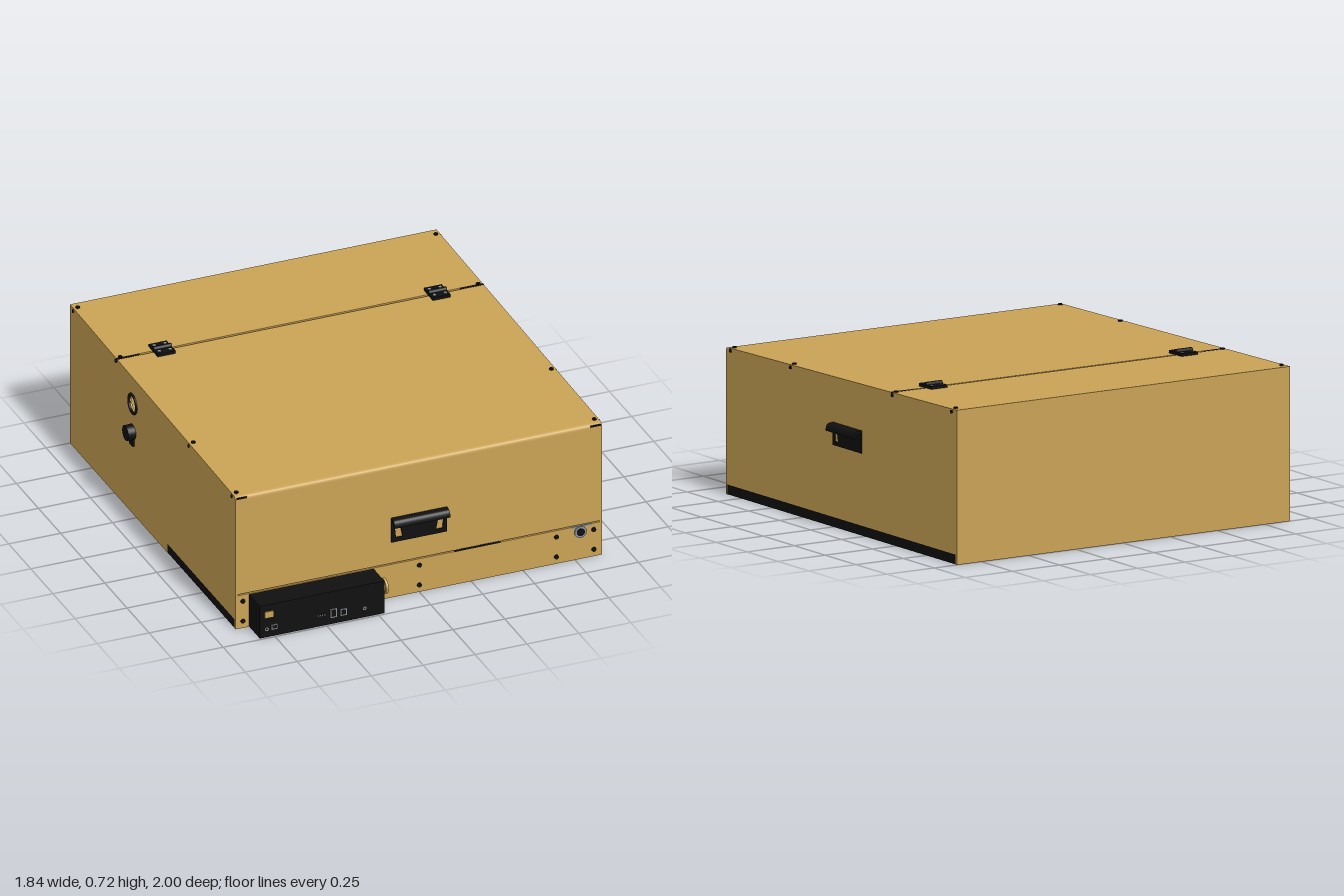
import * as THREE from 'three';

const mat = (name, color) => {
  const m = new THREE.MeshStandardMaterial({ color });
  m.name = name;
  return m;
};

export function createModel() {
  const root = new THREE.Group();
  root.name = 'enclosure';
  const tan = mat('tan panel', 0xcaa356);
  const black = mat('black', 0x101010);
  const grey = mat('steel grey', 0x85919b);

  const add = (name, geo, m, parent = root) => {
    const mesh = new THREE.Mesh(geo, m);
    mesh.name = name;
    parent.add(mesh);
    return mesh;
  };
  // box given by its minimum and maximum corners
  const box = (name, m, a, b, parent) => {
    const g = new THREE.BoxGeometry(b[0] - a[0], b[1] - a[1], b[2] - a[2]);
    g.translate((a[0] + b[0]) / 2, (a[1] + b[1]) / 2, (a[2] + b[2]) / 2);
    return add(name, g, m, parent);
  };
  // cylinder along an axis, centred at p
  const rod = (name, m, r, len, axis, p, parent, seg = 16) => {
    const g = new THREE.CylinderGeometry(r, r, len, seg);
    if (axis === 'x') g.rotateZ(Math.PI / 2);
    if (axis === 'z') g.rotateX(Math.PI / 2);
    g.translate(...p);
    return add(name, g, m, parent);
  };
  const poly = (pts) => new THREE.Shape(pts.map(([x, y]) => new THREE.Vector2(x, y)));
  // extrude a (z, y) shape from x0 to x1
  const extrudeX = (name, m, shape, x0, x1, parent) => {
    const g = new THREE.ExtrudeGeometry(shape, { depth: x1 - x0, bevelEnabled: false, curveSegments: 20 });
    g.rotateY(-Math.PI / 2).translate(x1, 0, 0);
    return add(name, g, m, parent);
  };

  const L = -0.885, R = 0.88, F = 0.87, B = -1, T = 0.012;
  const roof = (z) => 0.665 + (F - z) * 0.0187;

  // side walls; the one at -x has a round vent and reaches the floor at the back
  extrudeX('sideWallLeft', tan, poly([[B, 0.045], [F, 0.045], [F, roof(F) - T], [B, roof(B) - T]]), R - T, R);
  const vented = poly([[B, 0], [0.1, 0], [0.1, 0.045], [F, 0.045], [F, roof(F) - T], [B, roof(B) - T]]);
  vented.holes.push(new THREE.Path().absarc(-0.29, 0.555, 0.04, 0, Math.PI * 2, true));
  extrudeX('sideWallRight', tan, vented, L, L + T);
  box('backWall', tan, [L, 0, B], [R, roof(B) - T, B + T]);
  box('lowerFrontPanel', tan, [L, 0, F - T], [R, 0.167, F]);

  // rear roof plate and hinged lid with its folded front door
  extrudeX('rearRoof', tan, poly([[B, roof(B) - T], [-0.478, roof(-0.478) - T], [-0.478, roof(-0.478)], [B, roof(B)]]), L, R);
  const lid = new THREE.Shape();
  lid.moveTo(-0.466, roof(-0.466));
  lid.lineTo(-0.466, roof(-0.466) - T);
  lid.lineTo(F - T, roof(F) - T);
  lid.lineTo(F - T, 0.173);
  lid.lineTo(F, 0.173);
  lid.lineTo(F, roof(F) - 0.02);
  lid.quadraticCurveTo(F, roof(F), F - 0.02, roof(F - 0.02));
  extrudeX('lid', tan, lid, L, R);
  box('doorSeal', black, [0.17, 0.165, F - 0.01], [0.39, 0.174, F + 0.002]);
  for (const [a, b] of [[L, -0.775], [0.77, R]])
    box('seamEnd', black, [a, 0.67, -0.479], [b, roof(-0.475) + 0.001, -0.465]);

  // floor frame, corner posts and upper side rails
  const W = 0.075, H = 0.045;
  for (const [a, b] of [[L + 0.001, L + W], [R - W, R - 0.001]]) {
    box('frameSideBeam', black, [a, 0.0005, B + 0.002], [b, H, F - 0.002]);
  }
  for (const [a, b] of [[B + 0.002, B + W], [F - W, F - 0.002]])
    box('frameCrossBeam', black, [L + 0.02, 0.0005, a], [R - 0.02, H, b]);
  for (const x of [L + T, R - T - 0.035]) {
    for (const z of [B + T, F - T - 0.035]) box('cornerPost', black, [x, 0.04, z], [x + 0.035, 0.63, z + 0.035]);
    box('upperRail', black, [x, 0.615, -0.44], [x + 0.035, 0.65, F - T]);
  }
  box('rearRail', grey, [-0.4, 0.05, B + 0.05], [0.8, 0.065, B + 0.065]);

  // equipment inside
  box('hangingUnit', black, [0.01, 0.37, -0.01], [0.19, 0.67, 0.17]);
  rod('hangingUnitLens', black, 0.04, 0.04, 'y', [0.1, 0.36, 0.08]);
  box('innerDuct', black, [L + T, 0.15, -0.34], [L + 0.07, 0.48, -0.25]);

  // vent rim and knob on the -x wall
  const rim = new THREE.TorusGeometry(0.044, 0.007, 8, 32);
  rim.rotateY(Math.PI / 2).translate(L - 0.001, 0.555, -0.29);
  add('ventRim', rim, black);
  rod('sideKnob', black, 0.036, 0.036, 'x', [L - 0.018, 0.415, -0.29], root, 24);
  box('sideKnobTab', black, [L - 0.01, 0.35, -0.31], [L, 0.4, -0.27]);

  // pull handle: pierced plate with a hooked lip, facing local +z
  const handle = (name, w, h, sides) => {
    const g = new THREE.Group();
    g.name = name;
    const plate = poly([[-w / 2, 0], [w / 2, 0], [w / 2, h], [-w / 2, h]]);
    for (const s of sides) {
      const pts = [[0.30, 0.17], [0.42, 0.17], [0.44, 0.64], [0.34, 0.64]];
      plate.holes.push(new THREE.Path(pts.map(([x, y]) => new THREE.Vector2(s * x * w, y * h))));
    }
    add('handlePlate', new THREE.ExtrudeGeometry(plate, { depth: 0.006, bevelEnabled: false }), black, g);
    const lip = new THREE.Shape();
    lip.moveTo(0, h - 0.012);
    lip.lineTo(0, h);
    lip.lineTo(0.018, h);
    lip.quadraticCurveTo(0.042, h, 0.042, h - 0.034);
    lip.lineTo(0.032, h - 0.036);
    lip.quadraticCurveTo(0.03, h - 0.012, 0.016, h - 0.012);
    extrudeX('handleLip', black, lip, -w / 2, w / 2, g);
    box('handleBacking', black, [-w * 0.4, h * 0.2, -T - 0.006], [w * 0.4, h * 0.85, -T], g);
    root.add(g);
    return g;
  };
  handle('frontHandle', 0.268, 0.122, [-1, 1]).position.set(-0.002, 0.28, F);
  const side = handle('sideHandle', 0.23, 0.102, [-1]);
  side.position.set(R, 0.373, -0.117);
  side.rotation.y = Math.PI / 2;

  // hinges with screws and a knuckle
  for (const x of [-0.667, 0.658]) {
    const g = new THREE.Group();
    g.name = 'hinge';
    g.position.set(x, roof(-0.47), -0.47);
    box('hingeLeaf', black, [-0.043, -0.004, -0.051], [0.043, 0.013, 0.051], g);
    rod('hingeKnuckle', black, 0.012, 0.086, 'x', [0, 0.014, 0], g);
    for (const sx of [-0.026, 0.026])
      for (const sz of [-0.029, 0.029]) rod('hingeScrew', grey, 0.008, 0.004, 'y', [sx, 0.0135, sz], g, 10);
    root.add(g);
  }

  // roof, side and front screws
  for (const z of [-0.96, -0.48, 0.345, 0.83])
    for (const [x, edge] of [[-0.865, L], [0.86, R]]) {
      rod('roofScrew', black, 0.01, 0.008, 'y', [x, roof(z) + 0.002, z], root, 10);
      rod('edgeScrew', black, 0.008, 0.01, 'x', [edge, roof(z) - 0.012, z], root, 10);
    }
  for (const x of [-0.85, 0, 0.66, 0.84])
    for (const y of [0.035, 0.135]) rod('frontScrew', black, 0.011, 0.006, 'z', [x, y, F + 0.002], root, 12);
  for (const x of [-0.855, 0.85]) box('doorSlot', black, [x - 0.025, 0.652, F - 0.01], [x + 0.025, 0.659, F + 0.002]);
  box('socketFlange', grey, [0.73, 0.162, F], [0.83, 0.17, F + 0.004]);
  rod('socketRing', grey, 0.029, 0.008, 'z', [0.775, 0.138, F + 0.003], root, 24);
  rod('socketCore', black, 0.019, 0.01, 'z', [0.775, 0.138, F + 0.004], root, 20);

  // control box with its ports and side connector
  const Z = 0.992;
  box('controlBox', black, [-0.82, 0.001, F], [-0.22, 0.163, Z]);
  box('rockerSwitch', tan, [-0.797, 0.1, Z], [-0.755, 0.13, Z + 0.004]);
  const frame = (x, y, w, h) => {
    box('portFrame', grey, [x - w / 2, y - h / 2, Z], [x + w / 2, y + h / 2, Z + 0.003]);
    box('portOpening', black, [x - w / 2 + 0.005, y - h / 2 + 0.005, Z], [x + w / 2 - 0.005, y + h / 2 - 0.005, Z + 0.004]);
  };
  frame(-0.75, 0.047, 0.03, 0.025);
  frame(-0.466, 0.055, 0.032, 0.044);
  frame(-0.417, 0.05, 0.032, 0.034);
  for (const [x, y] of [[-0.787, 0.042], [-0.316, 0.047]]) {
    rod('jackRing', grey, 0.009, 0.004, 'z', [x, y, Z + 0.001], root, 14);
    rod('jackHole', black, 0.004, 0.005, 'z', [x, y, Z + 0.0015], root, 10);
  }
  for (let i = 0; i < 4; i++) box('indicator', grey, [-0.541 + i * 0.01, 0.053, Z], [-0.536 + i * 0.01, 0.058, Z + 0.003]);
  rod('connectorBase', tan, 0.037, 0.014, 'x', [-0.213, 0.095, 0.917], root, 24);
  rod('connectorNeck', tan, 0.028, 0.02, 'x', [-0.2, 0.095, 0.917], root, 24);
  rod('connectorCap', tan, 0.036, 0.012, 'x', [-0.188, 0.095, 0.917], root, 24);

  return root;
}
